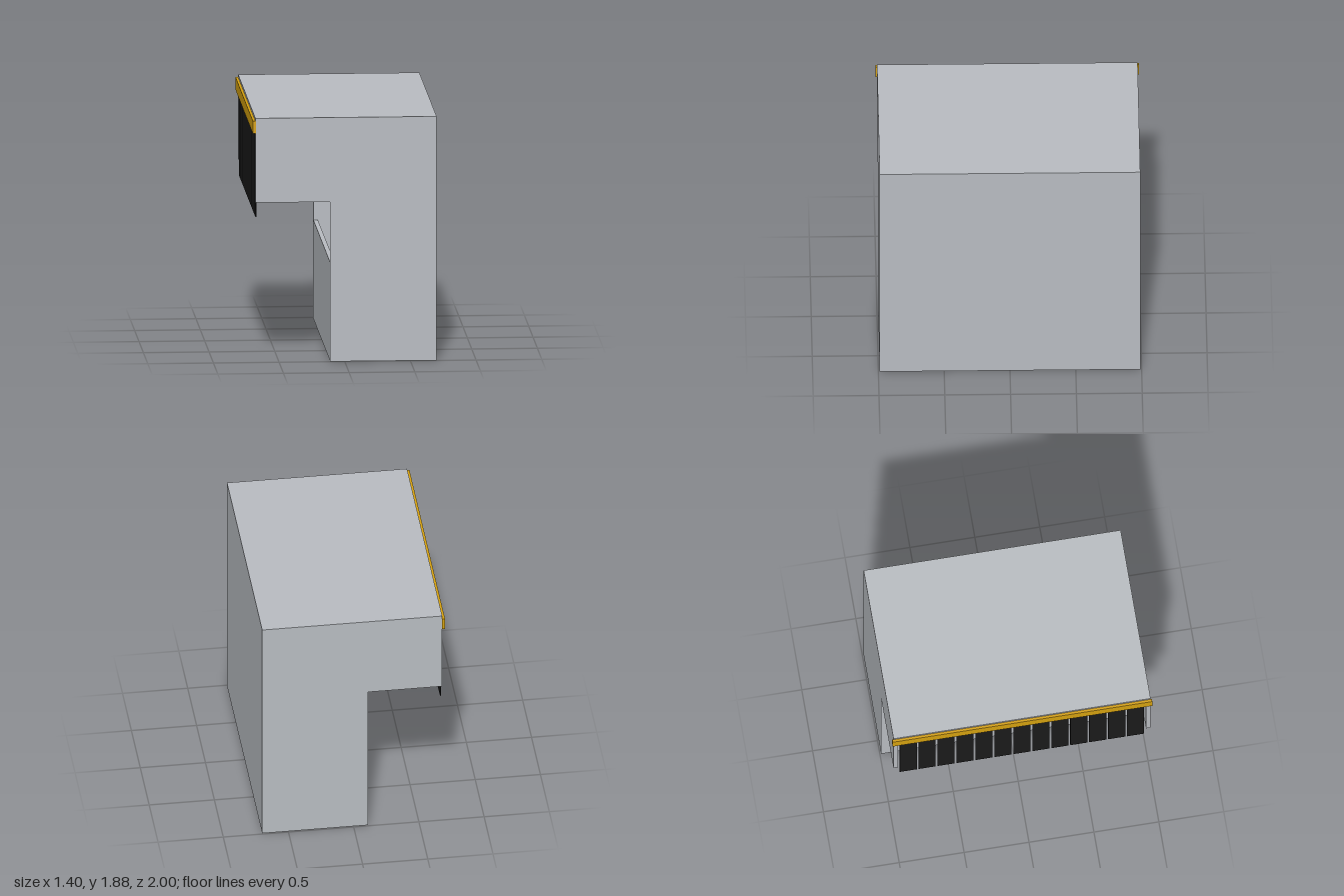
import * as THREE from 'three';

export function createModel() {
  const group = new THREE.Group();
  const panel = new THREE.MeshStandardMaterial({ color: 0xb8bcc1 });
  panel.name = 'greyPanel';
  const gold = new THREE.MeshStandardMaterial({ color: 0xd4a010 });
  gold.name = 'goldTrim';
  const black = new THREE.MeshStandardMaterial({ color: 0x1a1a1a });
  black.name = 'blackRubber';

  // Box given by its minimum and maximum along each axis
  function box(name, material, [x0, x1], [y0, y1], [z0, z1], parent = group) {
    const mesh = new THREE.Mesh(new THREE.BoxGeometry(x1 - x0, y1 - y0, z1 - z0), material);
    mesh.position.set((x0 + x1) / 2, (y0 + y1) / 2, (z0 + z1) / 2);
    mesh.name = name;
    parent.add(mesh);
    return mesh;
  }

  const T = 0.035;      // panel thickness
  const H = 1.84;       // underside of the roof
  const Z = 0.99;       // half length
  const X0 = -0.68, XM = -0.11, X1 = 0.7;

  // Roof and long walls; the body is open at the bottom
  box('roof', panel, [X0, X1], [H, 1.88], [-Z, Z]);
  box('tallWall', panel, [X1 - T, X1], [0, H], [-Z + T, Z - T]);
  box('lowWall', panel, [XM, XM + T], [0, 0.76], [-Z + T, Z - T]);

  // End walls of the body and of the overhanging hood
  for (const [side, z] of [['front', [Z - T, Z]], ['back', [-Z, -Z + T]]]) {
    box(side + 'EndWall', panel, [XM, X1], [0, H], z);
    box(side + 'HoodWall', panel, [X0, XM], [1.23, H], z);
  }

  // Trim rail along the hood opening
  box('trimRail', gold, [-0.7, -0.677], [1.765, 1.86], [-1, 1]);

  // Hanging curtain of separate strips
  const curtain = new THREE.Group();
  curtain.name = 'stripCurtain';
  group.add(curtain);
  const count = 13, pitch = 0.146, width = 0.131;
  for (let i = 0; i < count; i++) {
    const z = (i - (count - 1) / 2) * pitch;
    box('curtainStrip', black, [-0.676, -0.67], [1.11, H], [z - width / 2, z + width / 2], curtain);
  }

  return group;
}
